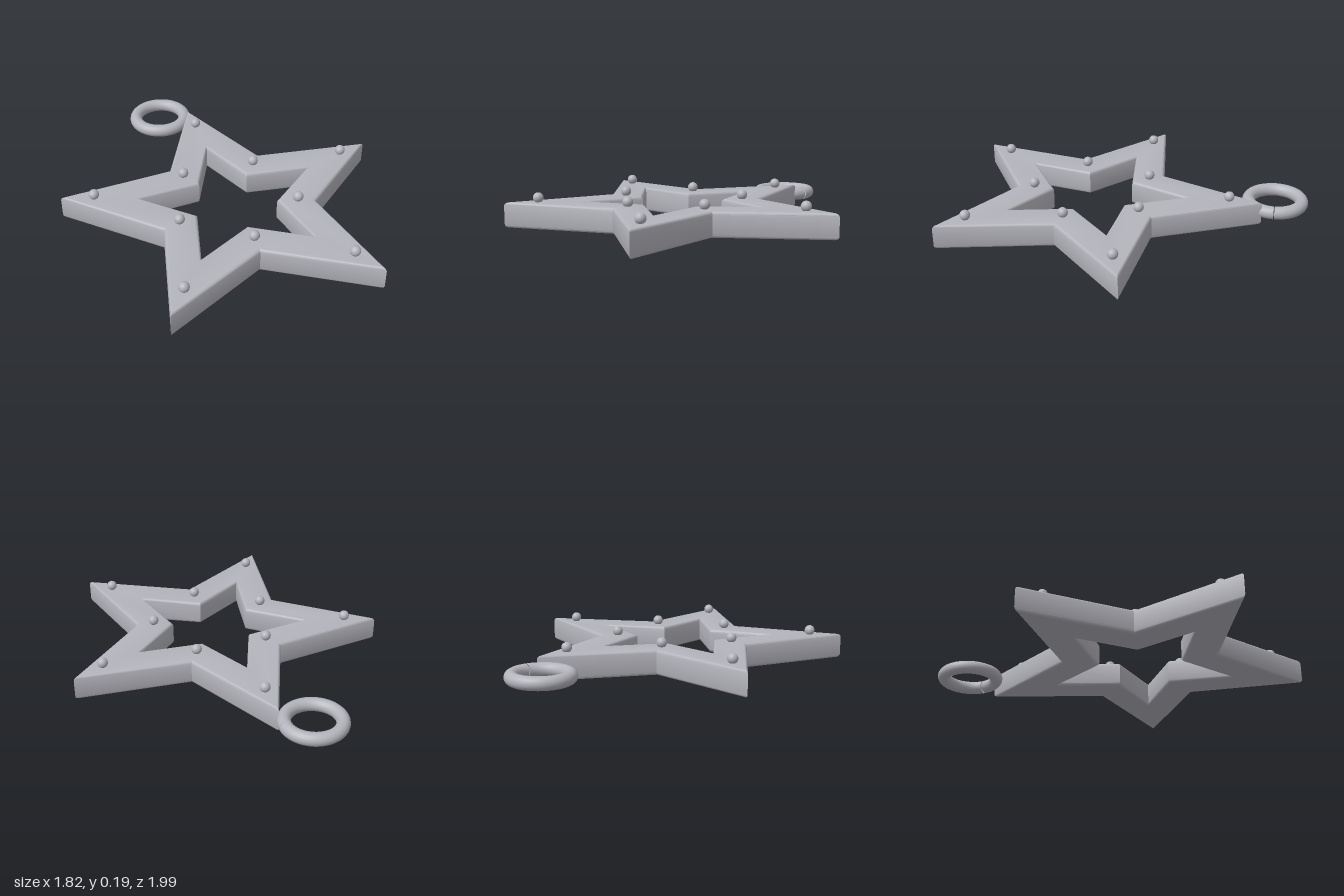
import * as THREE from 'three';
import { toCreasedNormals } from 'three/addons/utils/BufferGeometryUtils.js';

const HEIGHT = 0.14, BEVEL = 0.02, CENTER_Z = 0.215;

// Ten alternating points of a five-pointed star, first tip towards +y
function starPoints(outer, inner) {
  return Array.from({ length: 10 }, (_, i) => {
    const r = i % 2 ? inner : outer;
    const a = Math.PI / 2 + (i * Math.PI) / 5;
    return new THREE.Vector2(r * Math.cos(a), r * Math.sin(a));
  });
}

export function createModel() {
  const model = new THREE.Group();
  model.name = 'starCharm';

  const metal = new THREE.MeshStandardMaterial({ color: 0xb4b4bc });
  metal.name = 'silverMetal';
  metal.side = THREE.DoubleSide;

  // Open star frame with softly rounded edges
  const shape = new THREE.Shape(starPoints(0.955, 0.455));
  shape.holes.push(new THREE.Path(starPoints(0.52, 0.24)));
  const extruded = new THREE.ExtrudeGeometry(shape, {
    depth: HEIGHT - 2 * BEVEL,
    bevelSize: BEVEL,
    bevelThickness: BEVEL,
    bevelOffset: -BEVEL,
    bevelSegments: 4,
    curveSegments: 1,
  });
  extruded.translate(0, 0, BEVEL);
  extruded.rotateX(-Math.PI / 2);
  const frame = new THREE.Mesh(toCreasedNormals(extruded, 0.42), metal);
  frame.name = 'starFrame';
  frame.position.z = CENTER_Z;
  model.add(frame);

  // Small beads on every tip and every inner corner
  const beadGeometry = new THREE.SphereGeometry(0.029, 24, 16);
  const beads = new THREE.Group();
  beads.name = 'beads';
  starPoints(0.77, 0.355).forEach((p, i) => {
    const bead = new THREE.Mesh(beadGeometry, metal);
    bead.name = i % 2 ? 'innerBead' : 'tipBead';
    bead.position.set(p.x, 0.163, CENTER_Z - p.y);
    beads.add(bead);
  });
  model.add(beads);

  // Hanging ring with a hairline split, lying flat beside the rear tip
  const ringGeometry = new THREE.TorusGeometry(0.152, 0.037, 20, 72, Math.PI * 2 - 0.03);
  ringGeometry.rotateX(-Math.PI / 2);
  const ring = new THREE.Mesh(ringGeometry, metal);
  ring.name = 'hangingRing';
  ring.position.set(-0.162, 0.075, -0.811);
  model.add(ring);

  return model;
}
